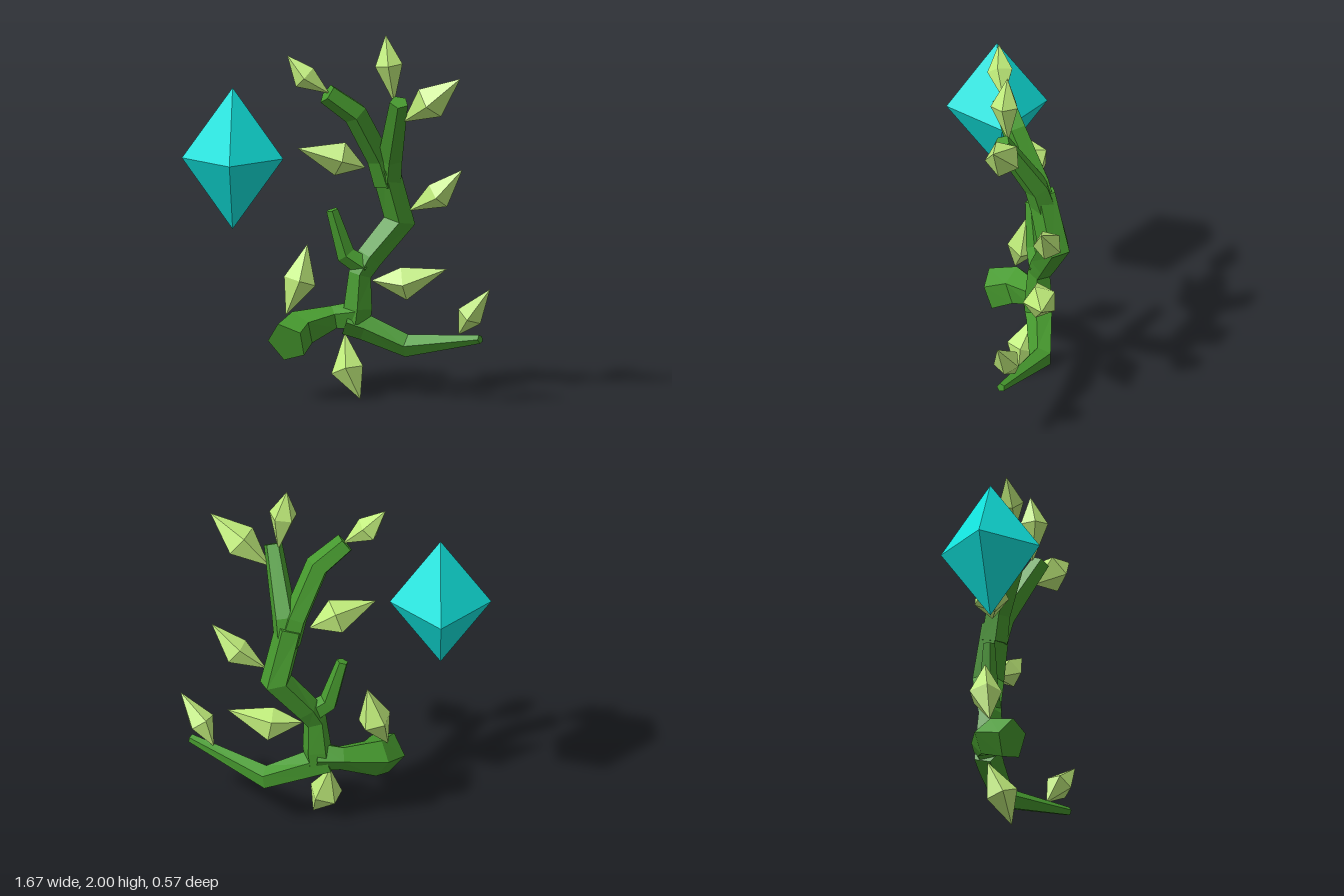
import * as THREE from 'three';

const SIDES = 5;
const V = (x, y, z) => new THREE.Vector3(x, y, z);
const paint = (color) => new THREE.MeshStandardMaterial({ color, flatShading: true });

// Skins a row of rings with triangles and closes both ends.
function skin(rings) {
  const pos = [];
  const tri = (...pts) => pts.forEach((p) => pos.push(p.x, p.y, p.z));
  const mid = (ring) => ring.reduce((s, p) => s.add(p), V(0, 0, 0)).divideScalar(ring.length);
  const first = rings[0], last = rings[rings.length - 1];
  const start = mid(first), end = mid(last);
  for (let j = 0; j < SIDES; j++) {
    const k = (j + 1) % SIDES;
    for (let i = 0; i < rings.length - 1; i++) {
      const a = rings[i], b = rings[i + 1];
      tri(a[j], a[k], b[k]);
      tri(a[j], b[k], b[j]);
    }
    tri(start, first[k], first[j]);
    tri(end, last[j], last[k]);
  }
  const geo = new THREE.BufferGeometry();
  geo.setAttribute('position', new THREE.Float32BufferAttribute(pos, 3));
  geo.computeVertexNormals();
  return geo;
}

// Ring of points around a centre, square to a direction.
function ringAt(center, dir, u, r) {
  const w = dir.clone().cross(u);
  return Array.from({ length: SIDES }, (_, j) => {
    const a = (j / SIDES) * Math.PI * 2;
    return center.clone().addScaledVector(u, Math.cos(a) * r).addScaledVector(w, Math.sin(a) * r);
  });
}

// Tapered branch through nodes [x, y, z, radius].
function branch(nodes) {
  const pts = nodes.map((n) => V(n[0], n[1], n[2]));
  const u = V(0, 0, 1);
  const rings = pts.map((p, i) => {
    const dir = V(0, 0, 0);
    if (i > 0) dir.add(p.clone().sub(pts[i - 1]).normalize());
    if (i < pts.length - 1) dir.add(pts[i + 1].clone().sub(p).normalize());
    dir.normalize();
    u.addScaledVector(dir, -u.dot(dir)).normalize();
    return ringAt(p, dir, u, nodes[i][3]);
  });
  return skin(rings);
}

// Pointed leaf: base, widest ring, tip.
function leaf([base, mid, tip, r]) {
  const a = V(...base), m = V(...mid), b = V(...tip);
  const dir = b.clone().sub(a).normalize();
  const u = V(0, 0, 1);
  u.addScaledVector(dir, -u.dot(dir)).normalize();
  const point = (p) => Array.from({ length: SIDES }, () => p.clone());
  return skin([ringAt(a, dir, u, 0.004), ringAt(m, dir, u, r), point(b)]);
}

export function createModel() {
  const group = new THREE.Group();
  const add = (name, geo, mat) => {
    const mesh = new THREE.Mesh(geo, mat);
    mesh.name = name;
    group.add(mesh);
    return mesh;
  };

  // Woody stems
  const green = paint(0x46992e);
  const stems = {
    rootStub: [[-0.27, 0.32, 0.07, 0.115], [-0.21, 0.37, -0.06, 0.105], [-0.03, 0.42, -0.14, 0.068], [0.1, 0.43, -0.14, 0.085]],
    trunk: [[0.09, 0.4, -0.14, 0.08], [0.1, 0.48, -0.14, 0.08], [0.11, 0.66, -0.14, 0.065],
      [0.16, 0.75, -0.16, 0.075], [0.32, 0.95, -0.2, 0.09], [0.245, 1.25, -0.14, 0.08]],
    lowBranch: [[0.04, 0.41, -0.14, 0.08], [0.14, 0.375, -0.14, 0.075], [0.37, 0.28, -0.12, 0.065], [0.775, 0.362, 0.14, 0.024]],
    smallBranch: [[0.14, 0.7, -0.14, 0.06], [0.035, 0.77, -0.13, 0.055], [-0.038, 1.015, -0.11, 0.033]],
    topLeftBranch: [[0.255, 1.16, -0.15, 0.075], [0.215, 1.3, -0.12, 0.07], [0.095, 1.56, -0.01, 0.07], [-0.055, 1.675, 0.04, 0.06]],
    topRightBranch: [[0.26, 1.16, -0.15, 0.075], [0.275, 1.3, -0.11, 0.07], [0.335, 1.64, 0.09, 0.052]],
  };
  for (const [name, nodes] of Object.entries(stems)) add(name, branch(nodes), green);

  // Leaves
  const lime = paint(0xbfec7a);
  const leaves = [
    [[-0.05, 1.68, 0.04], [-0.175, 1.765, 0.04], [-0.27, 1.88, 0.04], 0.073],
    [[0.305, 1.64, 0.05], [0.28, 1.84, 0.065], [0.26, 2.0, 0.05], 0.078],
    [[0.36, 1.53, 0.05], [0.51, 1.65, 0.1], [0.67, 1.785, 0.17], 0.1],
    [[0.135, 1.245, -0.13], [0.0, 1.3, -0.11], [-0.22, 1.36, -0.04], 0.1],
    [[0.38, 1.01, -0.16], [0.535, 1.1, -0.14], [0.665, 1.245, -0.09], 0.08],
    [[0.18, 0.63, -0.12], [0.35, 0.62, -0.12], [0.58, 0.7, -0.1], 0.095],
    [[-0.28, 0.455, -0.05], [-0.21, 0.63, -0.09], [-0.17, 0.83, -0.1], 0.092],
    [[0.03, 0.335, -0.13], [0.05, 0.15, -0.06], [0.12, 0.0, -0.02], 0.092],
    [[0.655, 0.375, 0.05], [0.72, 0.49, 0.1], [0.83, 0.64, 0.165], 0.075],
  ];
  leaves.forEach((l, i) => add(`leaf${i + 1}`, leaf(l), lime));

  // Floating crystal
  const crystal = add('crystal', new THREE.OctahedronGeometry(1), paint(0x10e4de));
  crystal.scale.set(0.273, 0.385, 0.273);
  crystal.position.set(-0.565, 1.312, 0.02);

  return group;
}
